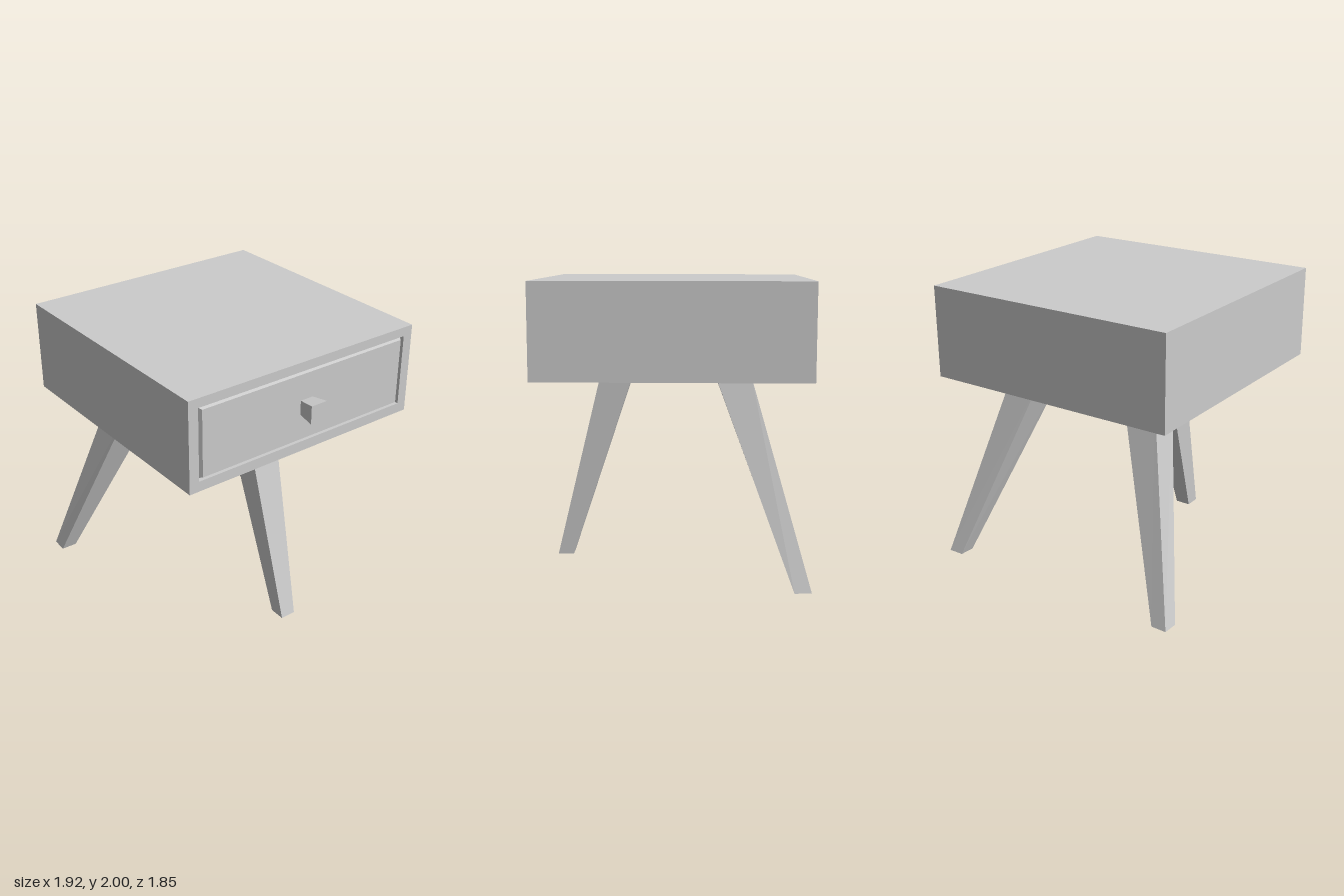
import * as THREE from 'three';

const material = new THREE.MeshStandardMaterial({ color: 0xcccccc, flatShading: true });

function addMesh(parent, name, geometry) {
  const mesh = new THREE.Mesh(geometry, material);
  mesh.name = name;
  parent.add(mesh);
  return mesh;
}

// Solid between two four-cornered ends; corners run counter-clockwise seen from beyond end b
function taper(a, b) {
  const points = [];
  const quad = (p, q, r, s) => points.push(...p, ...q, ...r, ...p, ...r, ...s);
  for (let i = 0; i < 4; i++) {
    const j = (i + 1) % 4;
    quad(a[i], a[j], b[j], b[i]);
  }
  quad(b[0], b[1], b[2], b[3]);
  quad(a[3], a[2], a[1], a[0]);
  const geometry = new THREE.BufferGeometry();
  geometry.setAttribute('position', new THREE.Float32BufferAttribute(points, 3));
  geometry.computeVertexNormals();
  return geometry;
}

// Rectangle facing +x
const sideRect = (x, y0, y1, halfZ) => [
  [x, y0, halfZ], [x, y0, -halfZ], [x, y1, -halfZ], [x, y1, halfZ],
];

// Rectangle facing +y
const flatRect = (y, x0, x1, z0, z1) => [
  [x0, y, z1], [x1, y, z1], [x1, y, z0], [x0, y, z0],
];

export function createModel() {
  const model = new THREE.Group();
  model.name = 'bedsideTable';

  const back = -0.96, front = 0.84, recess = 0.05;
  const bottom = 1.37, top = 2, halfDepth = 0.9;

  // Cabinet block behind the drawer front
  const length = front - recess - back;
  addMesh(model, 'cabinet', new THREE.BoxGeometry(length, top - bottom, halfDepth * 2))
    .position.set(back + length / 2, (top + bottom) / 2, 0);

  // Frame around the drawer opening
  const rect = (path, w, y0, y1) =>
    path.moveTo(-w, y0).lineTo(w, y0).lineTo(w, y1).lineTo(-w, y1).closePath();
  const outline = rect(new THREE.Shape(), halfDepth, bottom, top);
  outline.holes.push(rect(new THREE.Path(), 0.83, 1.44, 1.937));
  const frame = new THREE.ExtrudeGeometry(outline, { depth: recess, bevelEnabled: false });
  frame.rotateY(Math.PI / 2);
  addMesh(model, 'drawerFrame', frame).position.x = front - recess;

  // Bevelled drawer front and flared square knob
  addMesh(model, 'drawerFront', taper(
    sideRect(front - recess, 1.44, 1.937, 0.83),
    sideRect(front + 0.002, 1.46, 1.918, 0.803)));
  addMesh(model, 'drawerKnob', taper(
    sideRect(front, 1.64, 1.738, 0.048),
    sideRect(0.96, 1.626, 1.752, 0.062)));

  // Splayed front leg
  addMesh(model, 'frontLeg', taper(
    flatRect(0, 0.677, 0.788, -0.016, 0.094),
    flatRect(bottom, 0.222, 0.452, -0.074, 0.152)));

  // Mirrored pair of splayed back legs, slightly skewed in section
  const foot = [[-0.96, 0.025, 0.925], [-0.85, 0.02, 0.927], [-0.848, 0.02, 0.815], [-0.958, 0.025, 0.817]];
  const head = [[-0.575, bottom, 0.58], [-0.342, bottom, 0.562], [-0.332, bottom, 0.316], [-0.572, bottom, 0.336]];
  const mirror = (corners) => corners.map(([x, y, z]) => [x, y, -z]).reverse();
  addMesh(model, 'backLegLeft', taper(foot, head));
  addMesh(model, 'backLegRight', taper(mirror(foot), mirror(head)));

  return model;
}
